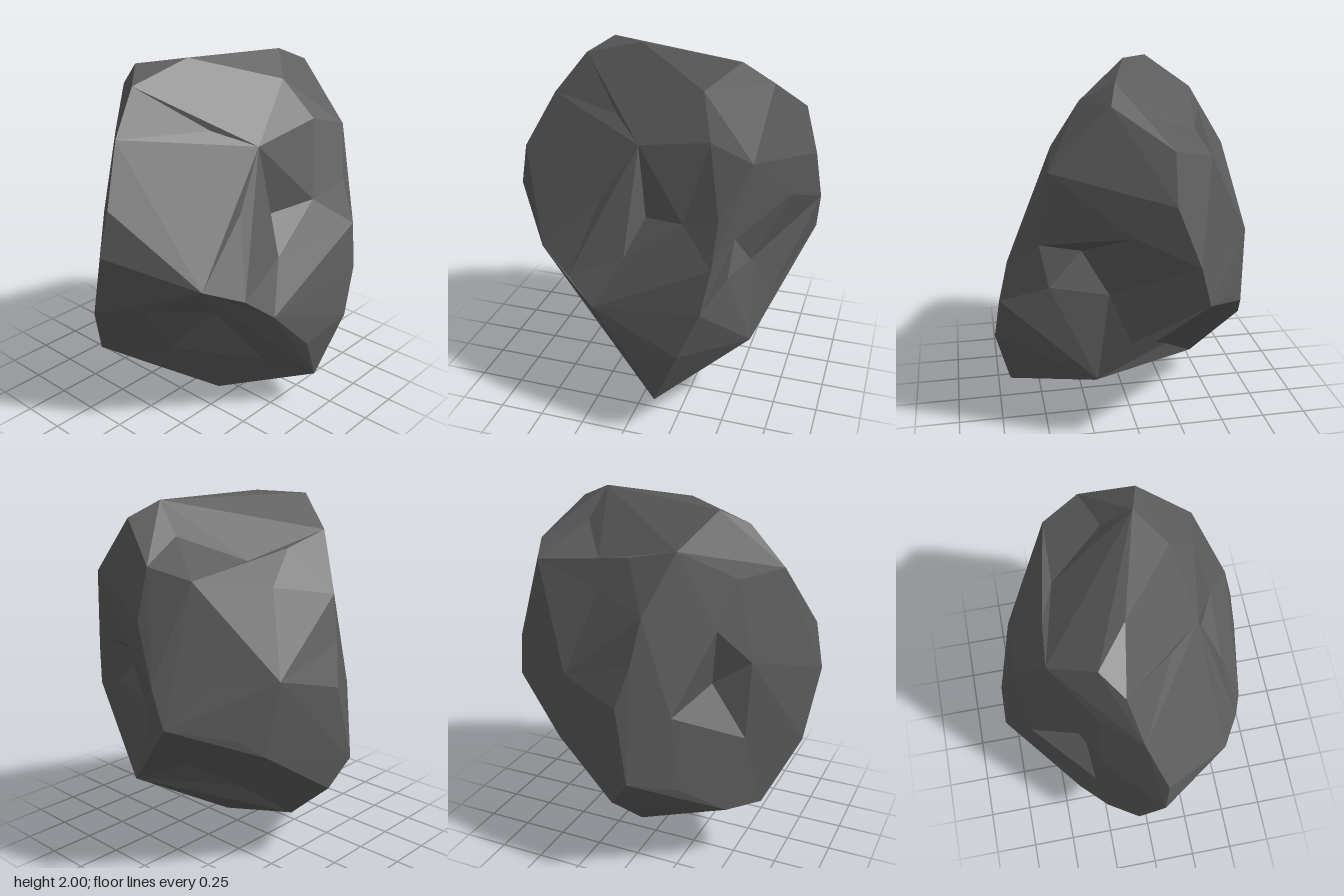
import * as THREE from 'three';
import { ConvexGeometry } from 'three/addons/geometries/ConvexGeometry.js';

const vec = (p) => new THREE.Vector3(...p);

// Corners of the boulder, grouped by region
const corners = [
  // crest
  [-0.2, 1.98, 0.35], [-0.03, 2, 0.13], [0.12, 1.98, -0.46], [0.17, 1.9, -0.64], [-0.09, 1.9, 0.48],
  // front ridge
  [-0.03, 1.67, 0.66], [0.07, 1.36, 0.82], [0.05, 1.11, 0.87], [-0.08, 0.72, 0.82], [-0.24, 0.37, 0.65],
  // front, -x half
  [-0.23, 1.64, 0.48], [-0.58, 0.54, 0.3], [-0.39, 0.36, 0.5],
  // +x side
  [0.28, 1.86, -0.3], [0.44, 1.65, -0.38], [0.48, 1.58, -0.61], [0.2, 1.66, 0.2],
  [0.77, 0.57, -0.31], [0.72, 0.48, -0.03], [0.69, 0.21, -0.16],
  // edge between +x side and back
  [0.6, 1.3, -0.47], [0.69, 1.07, -0.46], [0.74, 0.83, -0.42],
  // -x side, with its shallow folds
  [-0.44, 1.81, 0.22], [-0.61, 1.5, 0.1], [-0.73, 1.03, 0], [-0.77, 0.62, 0.08], [-0.63, 1.12, -0.35],
  [-0.04, 1.81, -0.5], [-0.34, 1.69, -0.28], [-0.42, 1.74, -0.06], [-0.46, 1.56, -0.22],
  [-0.33, 1.64, -0.67], [-0.41, 1.14, -0.65],
  // back
  [-0.12, 1.7, -0.77], [-0.12, 1.44, -0.84], [-0.24, 1.13, -0.87], [-0.3, 0.91, -0.85],
  // underside
  [0.16, 0, 0.08], [-0.02, 0.19, 0.36], [-0.43, 0.2, 0], [-0.72, 0.46, -0.04],
  [-0.52, 0.82, -0.54], [0.07, 0.64, -0.67], [0.24, 0.4, -0.59],
];

// Chipped hollows: the rim on the surface and the deepest point
const hollows = [
  { // front, -x half
    rim: [[-0.36, 1.39, 0.41], [-0.67, 1.25, 0.06], [-0.6, 0.97, 0.26], [-0.29, 0.77, 0.56], [-0.25, 1.2, 0.57]],
    apex: [-0.31, 1.07, 0.37],
  },
  { // +x side
    rim: [[0.38, 1.57, 0.02], [0.54, 1.23, -0.27], [0.56, 0.99, 0.05], [0.43, 1.26, 0.22]],
    apex: [0.42, 1.18, -0.03],
  },
  { // low front
    rim: [[0.1, 0.4, 0.42], [0.5, 0.34, 0.08], [0.66, 0.72, 0.2], [0.59, 0.85, 0.36], [0.47, 0.94, 0.56], [0.16, 0.77, 0.68]],
    apex: [0.33, 0.68, 0.32],
  },
  { // back
    rim: [[0.53, 1.18, -0.54], [0.07, 1.26, -0.75], [0.17, 0.88, -0.56], [0.48, 0.92, -0.5]],
    apex: [0.3, 1.1, -0.46],
  },
  { // underside
    rim: [[-0.05, 0.54, -0.46], [-0.6, 0.72, -0.42], [-0.22, 0.38, -0.22]],
    apex: [-0.25, 0.67, -0.32],
  },
];

// Project points from the middle on to a slightly rounded version of their hull
function roundedProjector(points) {
  const hull = new THREE.Mesh(new ConvexGeometry(points), new THREE.MeshBasicMaterial({ side: THREE.DoubleSide }));
  const middle = new THREE.Vector3(0, 1, 0);
  return (p, factor) => {
    const dir = p.clone().sub(middle).normalize();
    const hit = new THREE.Raycaster(middle, dir).intersectObject(hull)[0];
    const reach = hit ? hit.distance : p.distanceTo(middle);
    return middle.clone().addScaledVector(dir, factor / Math.sqrt(1 / reach ** 2 + 0.15));
  };
}

function boulderGeometry() {
  const points = [
    ...corners.map((p) => ({ at: vec(p), lift: 1, hollow: -1 })),
    ...hollows.flatMap(({ rim }, hollow) => rim.map((p) => ({ at: vec(p), lift: 1.008, hollow }))),
  ];
  const project = roundedProjector(points.map((p) => p.at));
  for (const p of points) p.round = project(p.at, p.lift);

  // The rounded hull decides which points join into faces
  const hull = new ConvexGeometry(points.map((p) => p.round)).getAttribute('position');
  const v = new THREE.Vector3();
  const out = [];
  const covers = hollows.map(() => []);
  for (let i = 0; i < hull.count; i += 3) {
    const tri = [0, 1, 2].map((k) => {
      v.fromBufferAttribute(hull, i + k);
      return points.find((p) => p.round.distanceTo(v) < 1e-4);
    });
    const { hollow } = tri[0];
    if (hollow >= 0 && tri.every((p) => p.hollow === hollow)) covers[hollow].push(tri);
    else out.push(...tri.map((p) => p.at));
  }

  // Fan the outline of each covered hollow in to its deepest point
  covers.forEach((tris, h) => {
    const edges = tris.flatMap(([a, b, c]) => [[a, b], [b, c], [c, a]]);
    for (const [a, b] of edges) {
      if (edges.some(([p, q]) => p === b && q === a)) continue;
      out.push(a.at, b.at, vec(hollows[h].apex));
    }
  });

  const geometry = new THREE.BufferGeometry().setFromPoints(out);
  geometry.computeVertexNormals();
  return geometry;
}

export function createModel() {
  const group = new THREE.Group();
  group.name = 'rock';
  const boulder = new THREE.Mesh(
    boulderGeometry(),
    new THREE.MeshStandardMaterial({ color: 0x5c5c5c, flatShading: true }),
  );
  boulder.name = 'boulder';
  group.add(boulder);
  return group;
}
